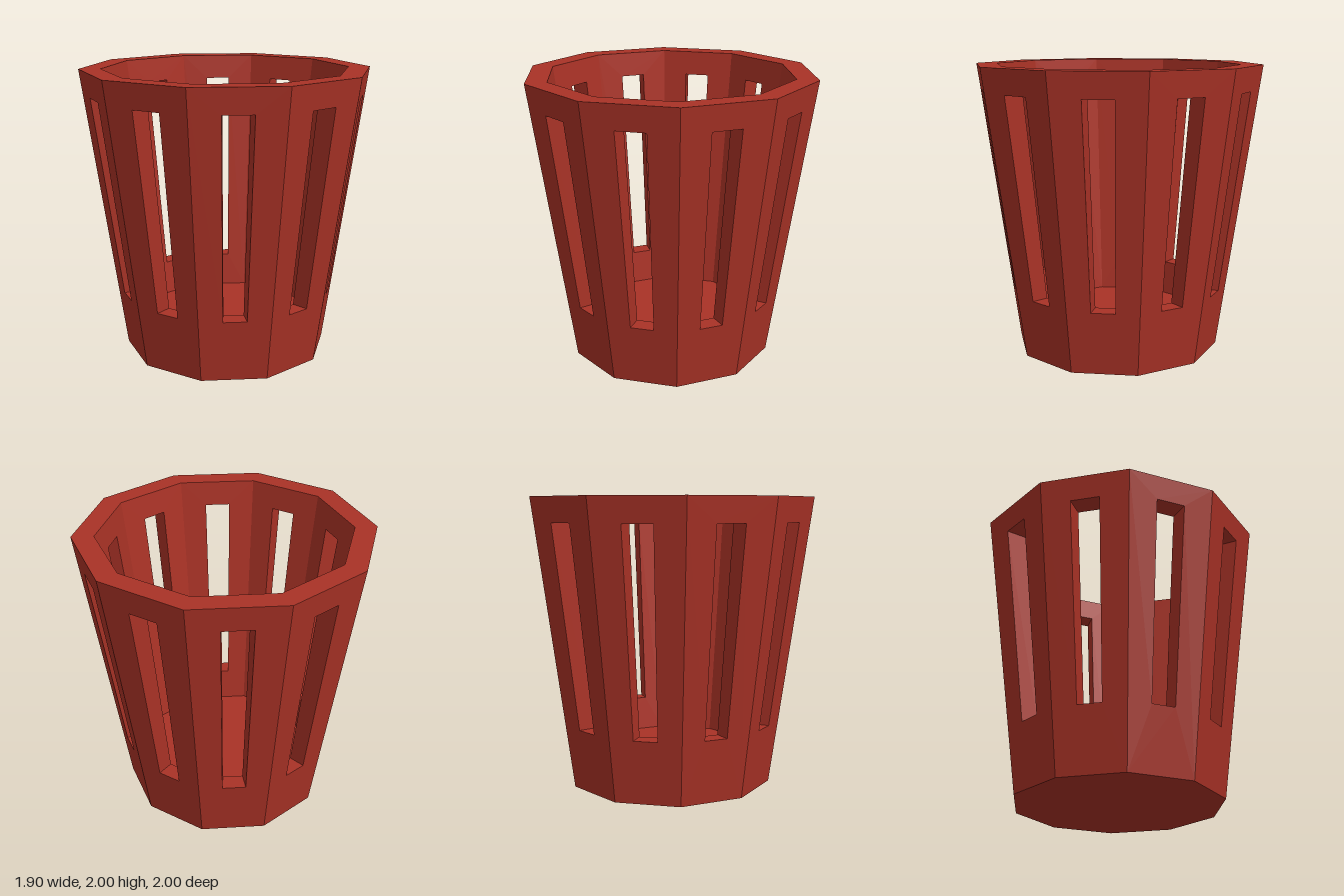
import * as THREE from 'three';
import { mergeGeometries } from 'three/addons/utils/BufferGeometryUtils.js';

const SIDES = 10;
const HALF = Math.PI / SIDES;
const HEIGHT = 2, FLOOR = 0.2;
const SLOT_LOW = 0.44, SLOT_HIGH = 1.83, SLOT = 0.332; // slot width as a share of the panel

// Corner radii of the tapered decagon walls at a given height
const outerRadius = y => 0.72 + 0.14 * y;
const innerRadius = y => 0.63 + (0.22 * (y - FLOOR)) / (HEIGHT - FLOOR);

// Point on a panel facing +z; t runs from -1 to 1 across the panel
function point(radius, t, y) {
  const r = radius(y);
  return [t * r * Math.sin(HALF), y, r * Math.cos(HALF)];
}

// Four corners, counter-clockwise seen from outside
const loop = (radius, t, low, high) => [
  point(radius, -t, low), point(radius, t, low),
  point(radius, t, high), point(radius, -t, high),
];

// One slotted wall panel: outer face, slot reveal, inner face and rim
function panelGeometry() {
  const loops = [
    loop(outerRadius, 1, 0, HEIGHT),
    loop(outerRadius, SLOT, SLOT_LOW, SLOT_HIGH),
    loop(innerRadius, SLOT, SLOT_LOW, SLOT_HIGH),
    loop(innerRadius, 1, FLOOR, HEIGHT),
  ];
  const pos = [];
  const bridge = (p, q, i) => {
    const j = (i + 1) % 4;
    pos.push(...p[i], ...p[j], ...q[j], ...p[i], ...q[j], ...q[i]);
  };
  for (let k = 0; k < 3; k++) {
    for (let i = 0; i < 4; i++) bridge(loops[k], loops[k + 1], i);
  }
  bridge(loops[3], loops[0], 2); // top rim
  const geo = new THREE.BufferGeometry();
  geo.setAttribute('position', new THREE.Float32BufferAttribute(pos, 3));
  geo.computeVertexNormals();
  return geo;
}

// Flat decagon with corners on the z axis, facing up or down
function disc(radius, y, up) {
  const geo = new THREE.CircleGeometry(radius, SIDES, Math.PI / 2);
  geo.rotateX(up ? -Math.PI / 2 : Math.PI / 2);
  return geo.translate(0, y, 0);
}

export function createModel() {
  const group = new THREE.Group();
  group.name = 'slottedBasket';
  const material = new THREE.MeshStandardMaterial({ color: 0xa93226, flatShading: true });
  const add = (name, geometry) => {
    const mesh = new THREE.Mesh(geometry, material);
    mesh.name = name;
    group.add(mesh);
  };

  // Ten identical panels around the axis
  const panels = [];
  for (let i = 0; i < SIDES; i++) {
    panels.push(panelGeometry().rotateY(HALF * (2 * i + 1)));
  }
  add('slottedWall', mergeGeometries(panels));

  // Base
  add('floor', disc(innerRadius(FLOOR), FLOOR, true));
  add('underside', disc(outerRadius(0), 0, false));

  return group;
}
